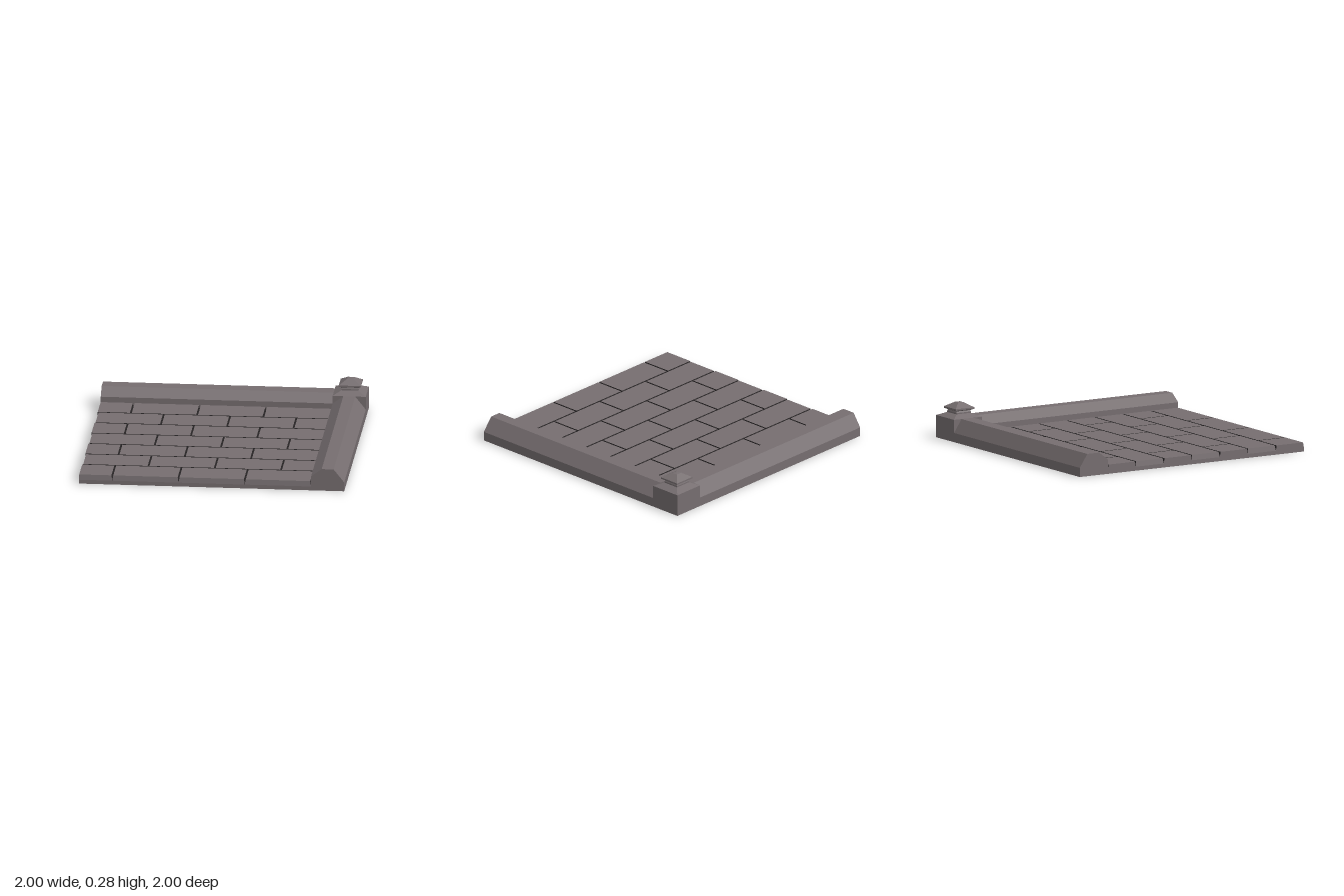
import * as THREE from 'three';

const stone = new THREE.MeshStandardMaterial({ color: 0x766e70 });
stone.name = 'stone';
const joint = new THREE.MeshStandardMaterial({ color: 0x2b2829 });
joint.name = 'dark joint';

function add(parent, name, geometry, material = stone) {
  const mesh = new THREE.Mesh(geometry, material);
  mesh.name = name;
  parent.add(mesh);
  return mesh;
}

// Curb of constant profile, extruded 1.75 along z from the given start
function curbGeometry(profile, start) {
  const shape = new THREE.Shape(profile.map(([x, y]) => new THREE.Vector2(x, y)));
  return new THREE.ExtrudeGeometry(shape, { depth: 1.75, bevelEnabled: false }).translate(0, 0, start);
}

// Paving stone with sides leaning in towards the top to leave a narrow joint
function paver(x0, x1, z0, z1, insetLeft) {
  const bottom = 0.03, top = 0.07, inset = 0.007;
  const g = new THREE.BoxGeometry(1, 1, 1);
  const p = g.attributes.position;
  for (let i = 0; i < p.count; i++) {
    const up = p.getY(i) > 0;
    const d = up ? inset : 0;
    const x = p.getX(i) > 0 ? x1 - d : x0 + (insetLeft ? d : 0);
    const z = p.getZ(i) > 0 ? z1 - d : z0 + d;
    p.setXYZ(i, x, up ? top : bottom, z);
  }
  g.computeVertexNormals();
  return g;
}

export function createModel() {
  const model = new THREE.Group();
  model.name = 'pavedCorner';

  // Floor slab under the paving
  add(model, 'floorSlab', new THREE.BoxGeometry(1.75, 0.03, 1.75).translate(-0.125, 0.015, 0.125));

  // Seven rows of paving in running bond
  const paving = new THREE.Group();
  paving.name = 'paving';
  model.add(paving);
  for (let row = 0; row < 7; row++) {
    const z0 = -0.75 + row * 0.25;
    const shifted = row % 2 === 1;
    for (let x = shifted ? -1 : -1.25; x < 0.74; x += 0.5) {
      const x0 = Math.max(x, -1), x1 = Math.min(x + 0.5, 0.75);
      const outerLeft = x0 === -1 ? stone : joint;
      const outerFront = row === 6 ? stone : joint;
      add(paving, 'pavingStone', paver(x0, x1, z0, z0 + 0.25, x0 > -1 || shifted),
        [joint, outerLeft, stone, stone, outerFront, joint]);
    }
  }

  // Curbs along the two closed sides
  add(model, 'leftCurb', curbGeometry(
    [[0.75, 0], [1, 0], [1, 0.07], [0.92, 0.17], [0.83, 0.17], [0.75, 0.11]], -0.75));
  add(model, 'backCurb', curbGeometry(
    [[0.75, 0], [1, 0], [1, 0.07], [0.933, 0.17], [0.827, 0.17], [0.75, 0.11]], -1).rotateY(Math.PI / 2));

  // Corner post with a square stepped finial
  const post = new THREE.Group();
  post.name = 'cornerPost';
  post.position.set(0.875, 0, -0.875);
  model.add(post);
  add(post, 'postBlock', new THREE.BoxGeometry(0.25, 0.17, 0.25).translate(0, 0.085, 0));
  const tiers = [
    [0.125, 0.17], [0.065, 0.197], [0.065, 0.207], [0.06, 0.218],
    [0.083, 0.228], [0.083, 0.24], [0.024, 0.276], [0, 0.28],
  ];
  for (let i = 0; i < tiers.length - 1; i++) {
    const [r0, y0] = tiers[i], [r1, y1] = tiers[i + 1];
    const g = new THREE.CylinderGeometry(r1 * Math.SQRT2, r0 * Math.SQRT2, y1 - y0, 4, 1, true)
      .rotateY(Math.PI / 4).translate(0, (y0 + y1) / 2, 0).toNonIndexed();
    g.computeVertexNormals();
    add(post, 'finialTier', g);
  }
  return model;
}
